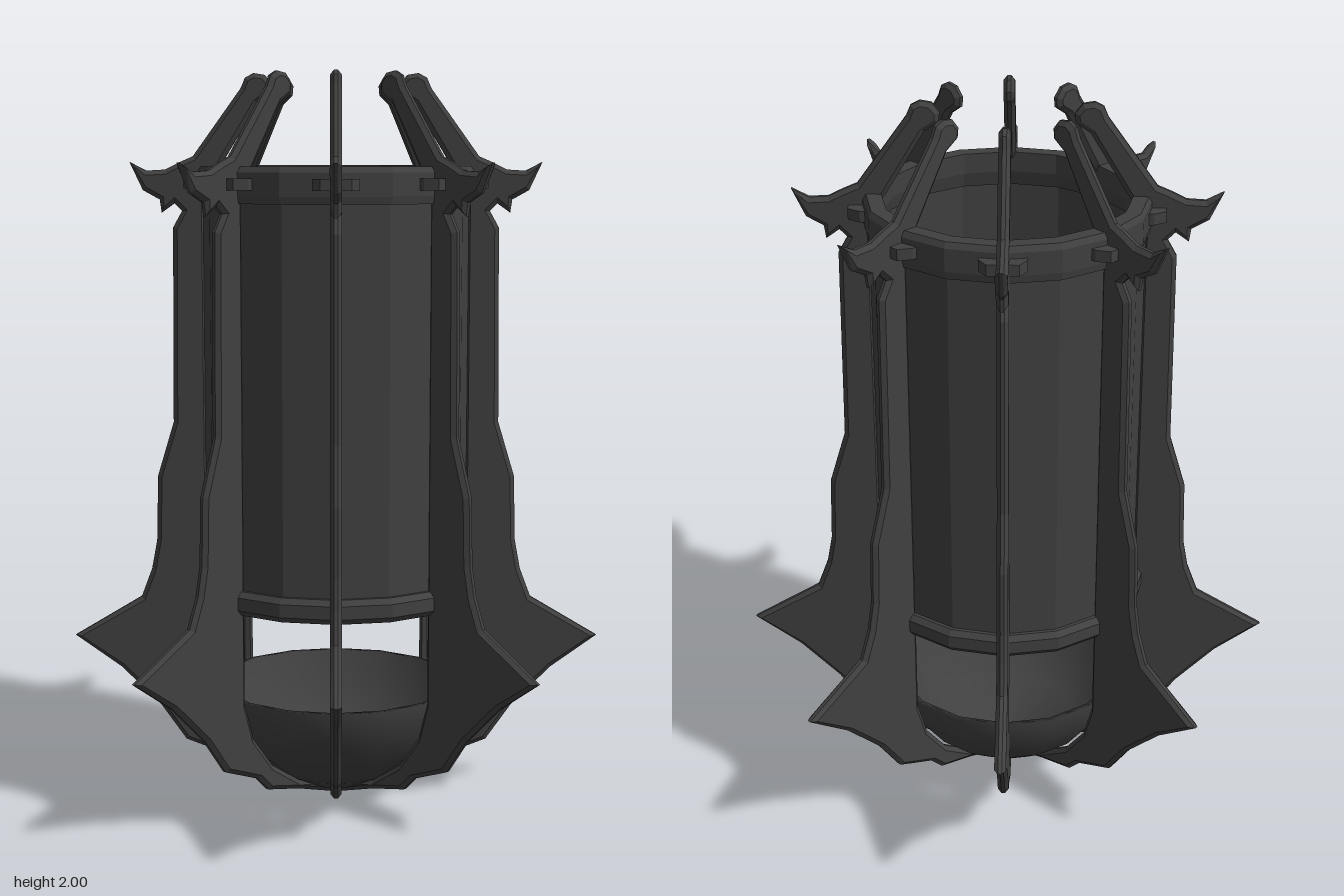
import * as THREE from 'three';

export function createModel() {
  const group = new THREE.Group();
  group.name = 'lantern';
  const material = new THREE.MeshStandardMaterial({
    color: 0x404040, flatShading: true, side: THREE.DoubleSide,
  });
  const smooth = new THREE.MeshStandardMaterial({ color: 0x404040, side: THREE.DoubleSide });

  const add = (parent, name, geometry, mat = material) => {
    const mesh = new THREE.Mesh(geometry, mat);
    mesh.name = name;
    parent.add(mesh);
    return mesh;
  };
  const vec = ([x, y]) => new THREE.Vector2(x, y);
  const lathe = (points, sides = 16) => new THREE.LatheGeometry(points.map(vec), sides);

  // Sixteen-sided barrel, open at both ends, with a band at each end
  add(group, 'barrel', lathe([[0.345, 0.6], [0.36, 0.6], [0.36, 1.7], [0.345, 1.7], [0.345, 0.6]]));
  add(group, 'topRim', lathe([
    [0.335, 1.66], [0.37, 1.66], [0.374, 1.68], [0.374, 1.74],
    [0.365, 1.755], [0.325, 1.755], [0.325, 1.7], [0.335, 1.66],
  ]));
  add(group, 'lowerBand', lathe([
    [0.34, 0.58], [0.37, 0.58], [0.383, 0.595], [0.383, 0.63],
    [0.37, 0.645], [0.34, 0.645], [0.34, 0.58],
  ]));

  // Open bowl under the window gap
  add(group, 'bowl', lathe([
    [0, 0.02], [0.08, 0.04], [0.16, 0.08], [0.25, 0.15],
    [0.315, 0.235], [0.342, 0.33], [0.325, 0.33], [0.3, 0.24], [0.2, 0.13], [0, 0.05],
  ]), smooth);

  // Blade outline in radius and height: lower spike, body, top barbs, hooked arm, inner edge
  const outline = [
    [0, 0.005], [0.15, 0.05], [0.265, 0.075], [0.305, 0.115], [0.42, 0.16],
    [0.49, 0.26], [0.6, 0.37], [0.725, 0.46], [0.54, 0.57], [0.51, 0.65],
    [0.495, 0.73], [0.49, 0.91], [0.445, 1.06], [0.44, 1.59], [0.415, 1.635],
    [0.435, 1.655], [0.47, 1.63], [0.475, 1.665], [0.52, 1.69], [0.555, 1.765],
    [0.51, 1.742], [0.46, 1.745], [0.42, 1.765], [0.385, 1.78], [0.255, 1.96],
    [0.243, 1.988], [0.22, 2.0], [0.19, 1.995], [0.17, 1.97], [0.173, 1.945],
    [0.195, 1.93], [0.21, 1.92], [0.31, 1.755], [0.35, 1.7], [0.35, 0.33],
    [0.32, 0.23], [0.25, 0.14], [0.15, 0.075], [0, 0.04],
  ];
  const bladeGeometry = new THREE.ExtrudeGeometry(new THREE.Shape(outline.map(vec)), {
    depth: 0.01, bevelEnabled: true, bevelThickness: 0.01,
    bevelSize: 0.012, bevelOffset: -0.012, bevelSegments: 1,
  });
  bladeGeometry.translate(0, 0, -0.005);

  // Tapered cross pin lying flat through each blade
  const pinGeometry = new THREE.ExtrudeGeometry(
    new THREE.Shape([[0.355, -0.06], [0.375, -0.06], [0.408, -0.04], [0.408, 0.04],
      [0.375, 0.06], [0.355, 0.06]].map(vec)),
    { depth: 0.03, bevelEnabled: false });
  pinGeometry.rotateX(-Math.PI / 2).translate(0, 1.695, 0);

  // Eight ribs around the body
  for (let i = 0; i < 8; i++) {
    const rib = new THREE.Group();
    rib.name = `rib${i + 1}`;
    add(rib, 'blade', bladeGeometry);
    add(rib, 'pin', pinGeometry);
    rib.rotation.y = i * Math.PI / 4;
    group.add(rib);
  }
  return group;
}
